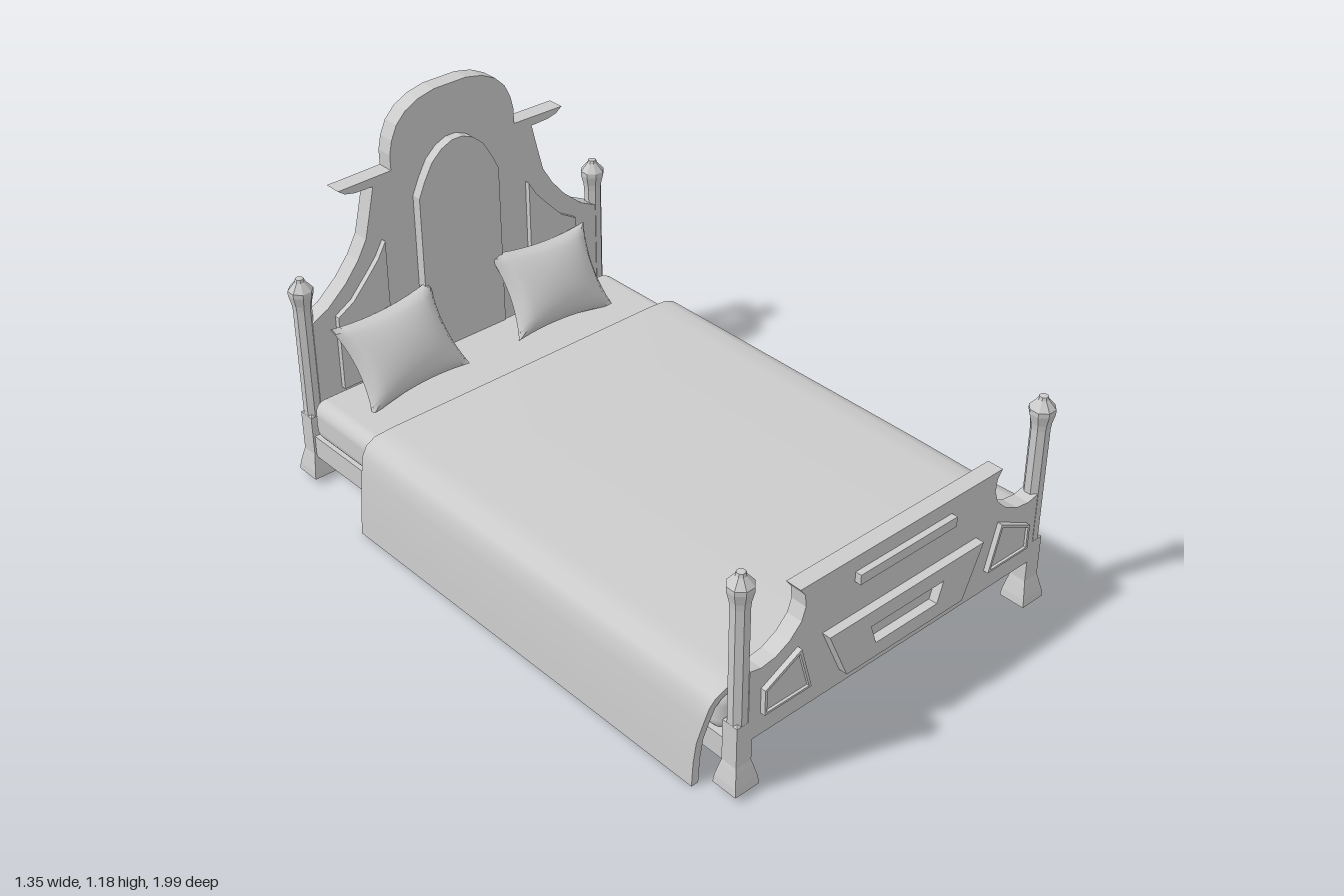
import * as THREE from 'three';
import { toCreasedNormals } from 'three/addons/utils/BufferGeometryUtils.js';
import { RoundedBoxGeometry } from 'three/addons/geometries/RoundedBoxGeometry.js';

const grey = new THREE.MeshStandardMaterial({ color: 0xcccccc });
const flat = new THREE.MeshStandardMaterial({ color: 0xcccccc, flatShading: true });
const cloth = new THREE.MeshStandardMaterial({ color: 0xcccccc, side: THREE.DoubleSide });
const CX = -0.018; // centre line of the frame
const POST_X = 0.573, POST_Z = 0.945;

function add(parent, name, geometry, material = flat, x = 0, y = 0, z = 0) {
  const mesh = new THREE.Mesh(geometry, material);
  mesh.name = name;
  mesh.position.set(x, y, z);
  parent.add(mesh);
  return mesh;
}

const toPoints = (pts) => pts.map(([x, y]) => new THREE.Vector2(x, y));
const flip = (pts) => pts.map(([x, y]) => [-x, y]).reverse();
const symmetric = (half) => [...half, ...flip(half)];

// Flat board cut from an outline, from z0 to z1
function board(parent, name, outline, z0, z1, hole) {
  const shape = new THREE.Shape(toPoints(outline));
  if (hole) shape.holes.push(new THREE.Path(toPoints(hole)));
  const geo = new THREE.ExtrudeGeometry(shape, { depth: z1 - z0, bevelEnabled: false });
  return add(parent, name, geo, flat, CX, 0, z0);
}

// Post: square flared foot and block, octagonal shaft, finial
function makePost(x, z) {
  const post = new THREE.Group();
  post.name = 'post';
  const square = [[0, 0.02], [0.043, 0.02], [0.04, 0.045], [0.031, 0.085], [0.027, 0.1], [0.027, 0.235], [0, 0.26]];
  add(post, 'postFoot', new THREE.LatheGeometry(toPoints(square.map(([r, y]) => [r * Math.SQRT2, y])), 4, Math.PI / 4));
  const shaft = [[0.029, 0.2], [0.029, 0.61], [0.031, 0.63], [0.039, 0.662], [0.039, 0.676], [0.016, 0.703], [0.013, 0.713], [0, 0.714]];
  add(post, 'postShaft', new THREE.LatheGeometry(toPoints(shaft), 8, Math.PI / 8));
  post.position.set(x, 0, z);
  return post;
}

function makeHeadboard() {
  const g = new THREE.Group();
  g.name = 'headboard';
  // Right half, bottom to top: curved shoulder, wing, dome
  board(g, 'headboardPanel', symmetric([
    [0.56, 0.17], [0.56, 0.56], [0.5, 0.59], [0.43, 0.65], [0.38, 0.71], [0.345, 0.77], [0.325, 0.85], [0.305, 0.935],
    [0.37, 0.937], [0.405, 0.945], [0.428, 0.962], [0.236, 0.965],
    [0.236, 1.015], [0.226, 1.06], [0.205, 1.105], [0.17, 1.14], [0.12, 1.165], [0.06, 1.178]]), -0.975, -0.918);
  board(g, 'archPanel', symmetric([
    [0.153, 0.3], [0.153, 0.855], [0.13, 0.905], [0.098, 0.96], [0.06, 0.993], [0.02, 1.01]]), -0.93, -0.885).position.x = -0.028;
  const corner = [[0.28, 0.3], [0.47, 0.3], [0.47, 0.555], [0.41, 0.59], [0.345, 0.66], [0.31, 0.7], [0.28, 0.75]];
  for (const outline of [corner, flip(corner)]) board(g, 'cornerPanel', outline, -0.93, -0.9).position.x = -0.026;
  return g;
}

function makeFootboard() {
  const g = new THREE.Group();
  g.name = 'footboard';
  board(g, 'footboardPanel', symmetric([
    [0.56, 0.17], [0.56, 0.402], [0.52, 0.393], [0.47, 0.4], [0.42, 0.425], [0.38, 0.465], [0.366, 0.505], [0.37, 0.545],
    [0.388, 0.57]]), 0.92, 0.972);
  board(g, 'topBar', symmetric([[0.186, 0.49], [0.186, 0.522]]), 0.965, 0.992);
  // Trapezoid panel with a recess
  board(g, 'middlePanel', symmetric([[0.228, 0.22], [0.3, 0.383]]), 0.965, 1,
    symmetric([[0.12, 0.267], [0.142, 0.333]]));
  const side = [[0.348, 0.243], [0.518, 0.243], [0.518, 0.325], [0.39, 0.39]];
  const inset = [[0.358, 0.25], [0.51, 0.25], [0.51, 0.32], [0.395, 0.376]];
  for (const f of [(p) => p, flip]) {
    board(g, 'sidePanelFrame', f(side), 0.965, 0.988, f(inset));
    board(g, 'sidePanel', f(inset), 0.965, 0.98);
  }
  return g;
}

// Blanket: a draped cross-section with thickness, swept along z, flaring at one front corner
function makeBlanket() {
  const outer = [[0.645, 0.035], [0.645, 0.1], [0.643, 0.17], [0.636, 0.235], [0.622, 0.28], [0.6, 0.308], [0.565, 0.322], [0.5, 0.326],
    [-0.54, 0.326], [-0.6, 0.322], [-0.632, 0.304], [-0.648, 0.275], [-0.656, 0.22], [-0.664, 0.15], [-0.67, 0.08], [-0.675, 0.002]];
  const inner = outer.map(([x, y]) => {
    const top = Math.max(0, (y - 0.2) / 0.126);
    return [x - Math.sign(x) * 0.024, y - 0.022 * top];
  });
  const n = outer.length;
  const section = [...outer, ...inner.reverse()];
  // [z, sideways shift of the right hem]
  const stations = [[-0.6, 0], [-0.3, 0.002], [0, -0.004], [0.25, 0.006], [0.45, 0.008], [0.58, -0.008],
    [0.68, -0.028], [0.74, -0.03], [0.8, -0.005], [0.86, 0.022], [0.912, 0.03]];
  const pos = [], idx = [], m = section.length;
  stations.forEach(([z, shift]) => section.forEach(([x, y]) => {
    const drop = THREE.MathUtils.clamp((0.326 - y) / 0.2, 0, 1);
    const pull = Math.max(0, (z - 0.74) / 0.17) * 0.045 * drop;
    pos.push(x > 0 ? x + shift * drop : x, y, z - pull);
  }));
  const quad = (a, b, c, d) => idx.push(a, b, c, a, c, d);
  const last = stations.length - 1;
  for (let i = 0; i < last; i++) for (let j = 0; j < m; j++) {
    const k = (j + 1) % m;
    quad(i * m + j, i * m + k, (i + 1) * m + k, (i + 1) * m + j);
  }
  // Hem caps at both ends
  for (let j = 0; j < n - 1; j++) {
    const a = j, b = j + 1, c = m - 2 - j, d = m - 1 - j, o = last * m;
    quad(a, d, c, b);
    quad(o + a, o + b, o + c, o + d);
  }
  const geo = new THREE.BufferGeometry();
  geo.setAttribute('position', new THREE.Float32BufferAttribute(pos, 3));
  geo.setIndex(idx);
  return toCreasedNormals(geo, 0.7);
}

// Pillow: a grid puffed in the middle with drawn-in edges and pointed corners
function makePillow() {
  const geo = new THREE.BoxGeometry(2, 2, 2, 14, 14, 1);
  const p = geo.attributes.position;
  for (let i = 0; i < p.count; i++) {
    const u = p.getX(i), v = p.getY(i);
    const puff = Math.sqrt(Math.max(0, (1 - u * u) * (1 - v * v)));
    p.setXYZ(i, 0.19 * u * (1 - 0.12 * (1 - v * v)), 0.145 * v * (1 - 0.12 * (1 - u * u)), p.getZ(i) * (0.004 + 0.06 * puff));
  }
  return toCreasedNormals(geo, 1);
}

export function createModel() {
  const bed = new THREE.Group();
  bed.name = 'bed';
  for (const sx of [-1, 1]) {
    for (const sz of [-1, 1]) bed.add(makePost(CX + sx * POST_X, sz * POST_Z));
    add(bed, 'sideRail', new THREE.BoxGeometry(0.04, 0.075, 1.86), flat, CX + sx * POST_X, 0.128, 0);
  }
  bed.add(makeHeadboard(), makeFootboard());
  add(bed, 'mattress', new RoundedBoxGeometry(1.2, 0.14, 1.835, 4, 0.045), grey, CX, 0.235, 0);
  add(bed, 'blanket', makeBlanket(), cloth);

  // Pillows lean on the headboard
  for (const [x, roll] of [[-0.335, 0.06], [0.265, -0.06]]) {
    const pillow = add(bed, 'pillow', makePillow(), grey, x, 0.425, -0.815);
    pillow.rotation.set(-0.6, 0, roll);
  }
  return bed;
}
